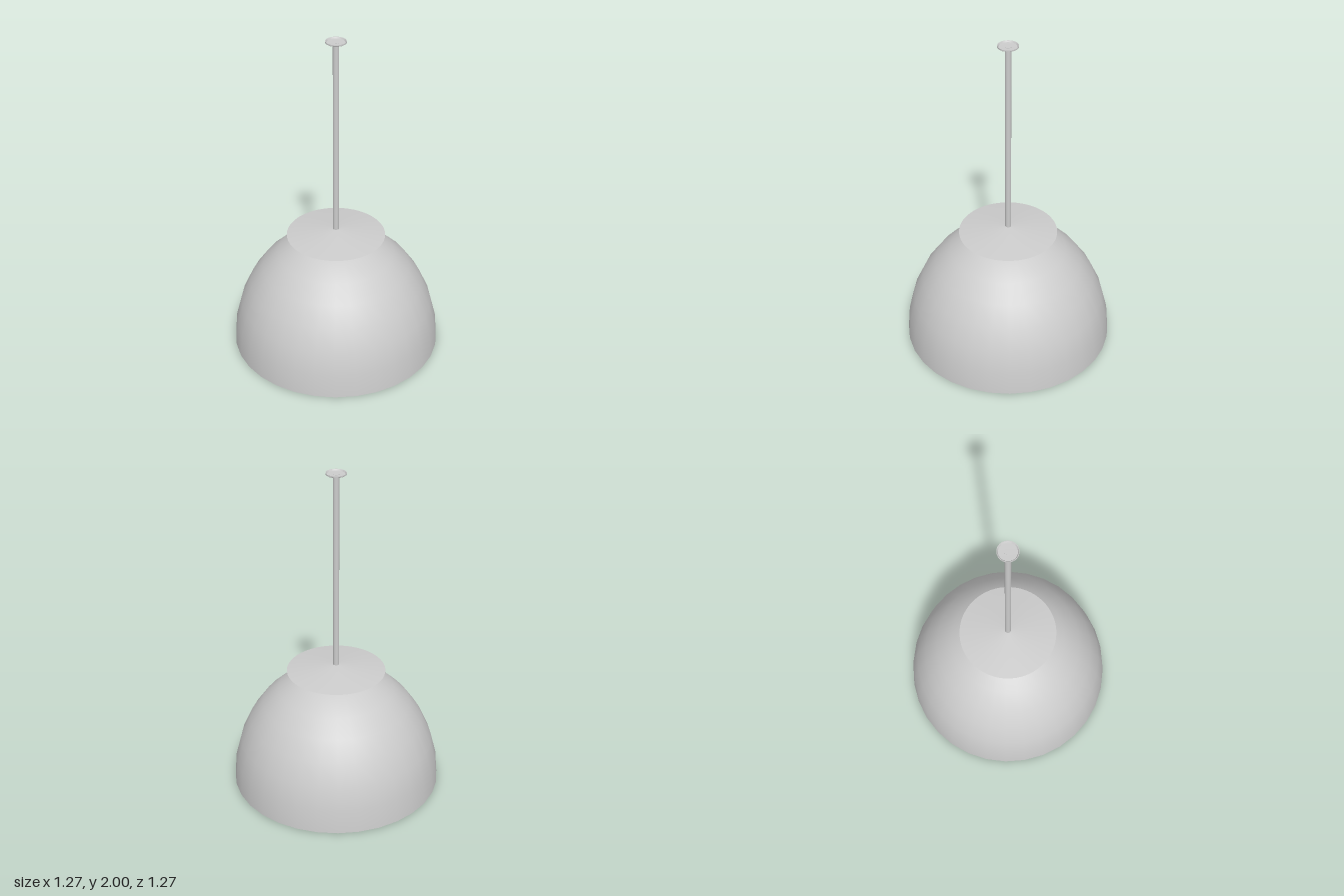
import * as THREE from 'three';
import { toCreasedNormals } from 'three/addons/utils/BufferGeometryUtils.js';

const material = new THREE.MeshStandardMaterial({ color: 0xcccccc, side: THREE.DoubleSide });

// Surface of revolution from [radius, height] pairs, with sharp creases kept
function turned(name, profile, segments, crease = 0.6) {
  const points = profile.map(([r, y]) => new THREE.Vector2(r, y));
  const geometry = toCreasedNormals(new THREE.LatheGeometry(points, segments), crease);
  const mesh = new THREE.Mesh(geometry, material);
  mesh.name = name;
  return mesh;
}

// Quarter ellipse from the rim up to the pole
function quarterArc(radius, height, steps = 8) {
  return Array.from({ length: steps + 1 }, (_, i) => {
    const a = (i / steps) * Math.PI / 2;
    return [i === steps ? 0 : radius * Math.cos(a), height * Math.sin(a)];
  });
}

export function createModel() {
  const group = new THREE.Group();
  group.name = 'pendantLamp';

  // Hollow dome: inner wall down to the rim, then the outer wall back up
  const inner = quarterArc(0.62, 0.727).reverse();
  const outer = quarterArc(0.634, 0.743);
  group.add(turned('shade', [...inner, ...outer], 32));

  // Sharp-edged shallow cone sitting on the dome
  group.add(turned('shadeCap', [
    [0, 0.733], [0.1, 0.722], [0.297, 0.742], [0, 0.782],
  ], 64, 0.15));

  // Suspension rod
  const rod = new THREE.Mesh(new THREE.CylinderGeometry(0.018, 0.018, 1.232, 24), material);
  rod.name = 'rod';
  rod.position.y = 0.76 + 1.232 / 2;
  group.add(rod);

  // Shallow ceiling dish, open upwards
  group.add(turned('ceilingPlate', [
    [0, 1.987], [0.054, 1.988], [0.06, 1.992], [0.06, 2], [0.057, 2], [0.052, 1.992], [0, 1.99],
  ], 48, 0.4));

  return group;
}
